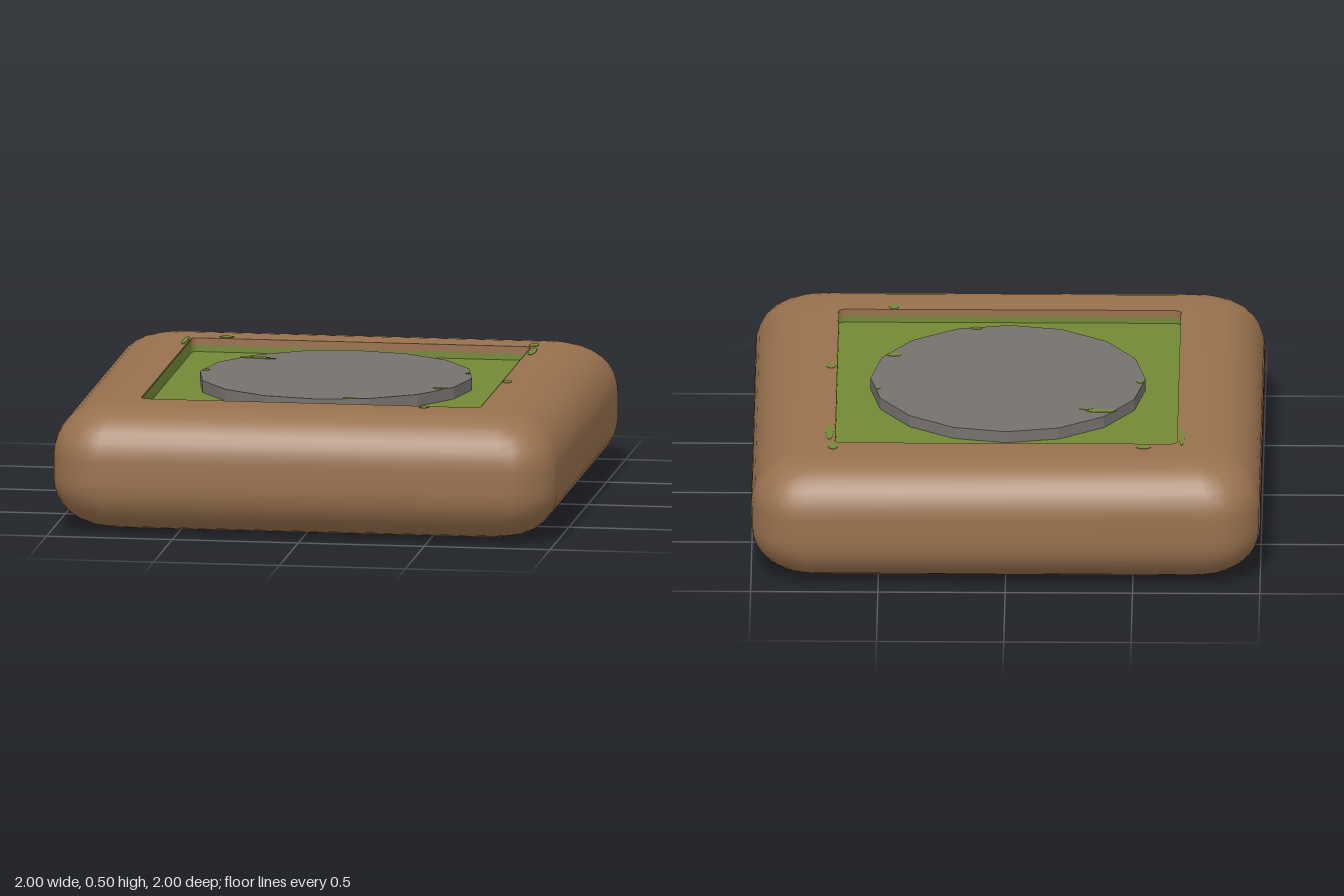
import * as THREE from 'three';

const MID = 0.255, HALF = 0.245;   // slab centre height and half thickness
const HOLE = 0.675, FLOOR = 0.19;  // recess half width, floor distance from centre

// Rounded-square loop of half width h and corner radius r
function ring(h, r, y, steps = 6) {
  const pts = [];
  for (let c = 0; c < 4; c++) {
    const base = c * Math.PI / 2;
    const cx = (h - r) * Math.SQRT2 * Math.cos(base + Math.PI / 4);
    const cz = (h - r) * Math.SQRT2 * Math.sin(base + Math.PI / 4);
    for (let i = 0; i <= steps; i++) {
      const a = base + (i / steps) * Math.PI / 2;
      pts.push([cx + r * Math.cos(a), y, cz + r * Math.sin(a)]);
    }
  }
  return pts;
}

// Skin between stacked loops, smooth normals
function loft(rings) {
  const n = rings[0].length, index = [];
  for (let j = 0; j < rings.length - 1; j++) {
    for (let i = 0; i < n; i++) {
      const a = j * n + i, b = j * n + (i + 1) % n;
      index.push(a, a + n, b, b, a + n, b + n);
    }
  }
  const g = new THREE.BufferGeometry();
  g.setAttribute('position', new THREE.Float32BufferAttribute(rings.flat(2), 3));
  g.setIndex(index);
  g.computeVertexNormals();
  return g;
}

export function createModel() {
  const model = new THREE.Group();
  model.name = 'squareTile';
  const mat = (name, color) => {
    const m = new THREE.MeshStandardMaterial({ color });
    m.name = name;
    return m;
  };
  const clay = mat('brown clay', 0x98714e);
  const moss = mat('green moss', 0x748936);
  const stone = mat('grey stone', 0x76716c);

  const add = (name, geo, material, x = 0, y = 0, z = 0) => {
    const m = new THREE.Mesh(geo, material);
    m.name = name;
    m.position.set(x, y, z);
    model.add(m);
    return m;
  };

  // Pillowy square frame, from the lower recess edge round to the upper one
  const rings = [ring(HOLE, 0.03, MID - HALF), ring(0.74, 0.06, MID - HALF)];
  const R = 0.2, steps = 8;
  for (let i = 0; i <= steps; i++) {
    const a = -Math.PI / 2 + (i / steps) * Math.PI / 2;
    const h = 1 - R + R * Math.cos(a);
    rings.push(ring(h, R - 0.5 * (1 - h), MID - HALF + R + R * Math.sin(a)));
  }
  for (let i = 0; i <= steps; i++) {
    const a = (i / steps) * Math.PI / 2;
    const h = 1 - R + R * Math.cos(a);
    rings.push(ring(h, R - 0.5 * (1 - h), MID + HALF - R + R * Math.sin(a)));
  }
  rings.push(ring(0.74, 0.06, MID + HALF), ring(HOLE, 0.03, MID + HALF));
  add('frame', loft(rings), clay);

  // Recess walls: clay above, with a moss band at the foot of the upper one
  const wall = (yTop, yLow) => loft([ring(HOLE, 0.03, yTop), ring(HOLE, 0.03, yLow)]);
  add('upperRecessWall', wall(MID + HALF, MID + 0.215), clay);
  add('upperRecessMossBand', wall(MID + 0.215, MID + FLOOR), moss);
  add('lowerRecessWall', wall(MID - FLOOR, MID - HALF), clay);
  for (const s of [-1, 1]) {
    const g = new THREE.BoxGeometry(0.004, HALF - FLOOR, 2 * HOLE - 0.06);
    add('sideMossWall', g, moss, s * (HOLE - 0.002), MID + (HALF + FLOOR) / 2 - 0.002, 0);
  }

  // Recess floors and raised sixteen-sided discs on both faces
  const floor = new THREE.PlaneGeometry(2 * HOLE, 2 * HOLE);
  const disc = (height) => {
    const g = new THREE.CylinderGeometry(0.54, 0.54, height, 16).toNonIndexed();
    g.computeVertexNormals();
    return g;
  };
  add('upperMossFloor', floor, moss, 0, MID + FLOOR, 0).rotation.x = -Math.PI / 2;
  add('lowerMossFloor', floor, moss, 0, MID - FLOOR, 0).rotation.x = Math.PI / 2;
  const topY = 0.492, upperH = topY - MID - FLOOR, lowerH = MID - FLOOR;
  add('stoneDisc', disc(upperH), stone, 0, topY - upperH / 2, 0);
  add('undersideDisc', disc(lowerH), clay, 0, lowerH / 2, 0);

  // Thin moss smears: x, z, width, depth, height
  const rimY = MID + HALF, smears = [
    [-0.69, -0.61, 0.02, 0.17, rimY], [-0.54, -0.71, 0.06, 0.04, rimY],
    [0.68, -0.71, 0.04, 0.07, rimY], [0.695, -0.57, 0.03, 0.16, rimY],
    [0.695, 0.1, 0.04, 0.05, rimY], [0.455, 0.7, 0.04, 0.05, rimY],
    [-0.37, -0.325, 0.12, 0.035, topY], [-0.31, -0.305, 0.05, 0.02, topY],
    [0.45, 0.235, 0.06, 0.035, topY], [0.13, 0.505, 0.05, 0.025, topY],
    [0.51, -0.1, 0.02, 0.03, topY], [-0.52, -0.03, 0.03, 0.03, topY],
  ];
  const blot = new THREE.CylinderGeometry(0.5, 0.5, 0.004, 8);
  for (const [x, z, w, d, y] of smears) add('mossSmear', blot, moss, x, y, z).scale.set(w, 1, d);

  return model;
}
